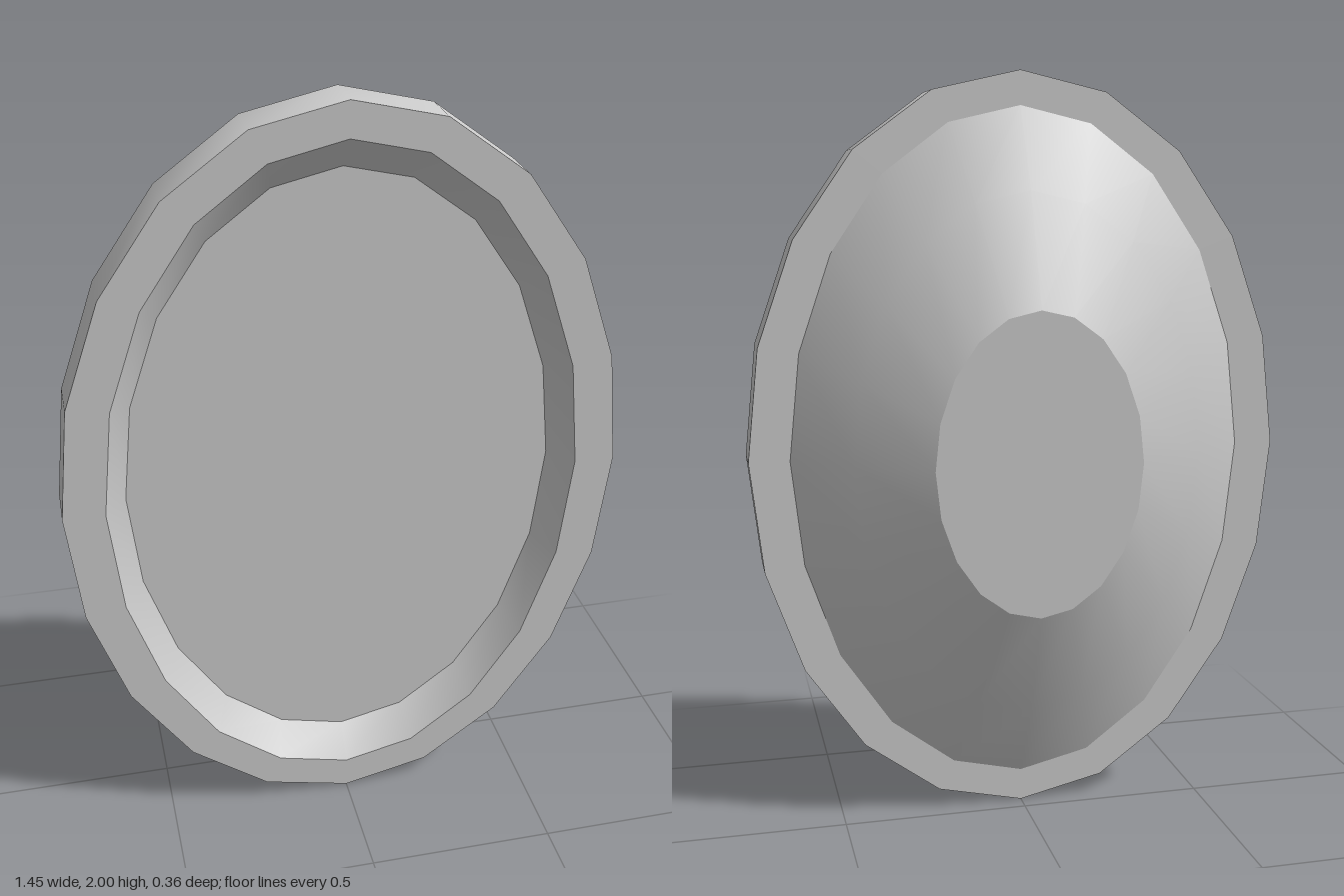
import * as THREE from 'three';
import { toCreasedNormals } from 'three/addons/utils/BufferGeometryUtils.js';

const SIDES = 20;

// Oval ring of points, clockwise from the top; a = half width, b = half height.
// The bulge nudges the points along the oval.
function oval(a, b, z, bulge = 0) {
  return Array.from({ length: SIDES }, (_, i) => {
    const t = (i / SIDES) * Math.PI * 2;
    const u = t + bulge * Math.sin(2 * t);
    return [a * Math.sin(u), 1 + b * Math.cos(u), z];
  });
}

// Band of faces joining two rings.
function band(from, to) {
  const pos = [];
  for (let i = 0; i < SIDES; i++) {
    const j = (i + 1) % SIDES;
    pos.push(...from[i], ...from[j], ...to[j], ...from[i], ...to[j], ...to[i]);
  }
  return pos;
}

// Flat disc closing a ring.
function disc(ring, facing) {
  const pos = [];
  const centre = [0, 1, ring[0][2]];
  for (let i = 0; i < SIDES; i++) {
    const j = (i + 1) % SIDES;
    const [p, q] = facing > 0 ? [ring[j], ring[i]] : [ring[i], ring[j]];
    pos.push(...centre, ...p, ...q);
  }
  return pos;
}

export function createModel() {
  const group = new THREE.Group();
  const material = new THREE.MeshStandardMaterial({ color: 0xcccccc });

  const add = (name, pos) => {
    const geo = new THREE.BufferGeometry();
    geo.setAttribute('position', new THREE.Float32BufferAttribute(pos, 3));
    const mesh = new THREE.Mesh(toCreasedNormals(geo, THREE.MathUtils.degToRad(30)), material);
    mesh.name = name;
    group.add(mesh);
  };

  const floor = oval(0.561, 0.827, 0.11);
  const opening = oval(0.617, 0.911, 0.18);
  const rimFront = oval(0.724, 1, 0.18, 0.021);
  const rimBack = oval(0.724, 1, 0.05, 0.021);
  const domeEdge = oval(0.617, 0.911, 0.05);
  const domeMiddle = oval(0.465, 0.695, -0.065);
  const domeEnd = oval(0.274, 0.4, -0.18);

  // Recessed front panel and its sloping edge
  add('frontPanel', disc(floor, 1));
  add('panelBevel', band(floor, opening));

  // Rim: front face, outer wall, back face
  add('rim', [...band(opening, rimFront), ...band(rimFront, rimBack), ...band(rimBack, domeEdge)]);

  // Domed back with a flat end
  add('domedBack', [...band(domeEdge, domeMiddle), ...band(domeMiddle, domeEnd)]);
  add('backCap', disc(domeEnd, -1));

  return group;
}
